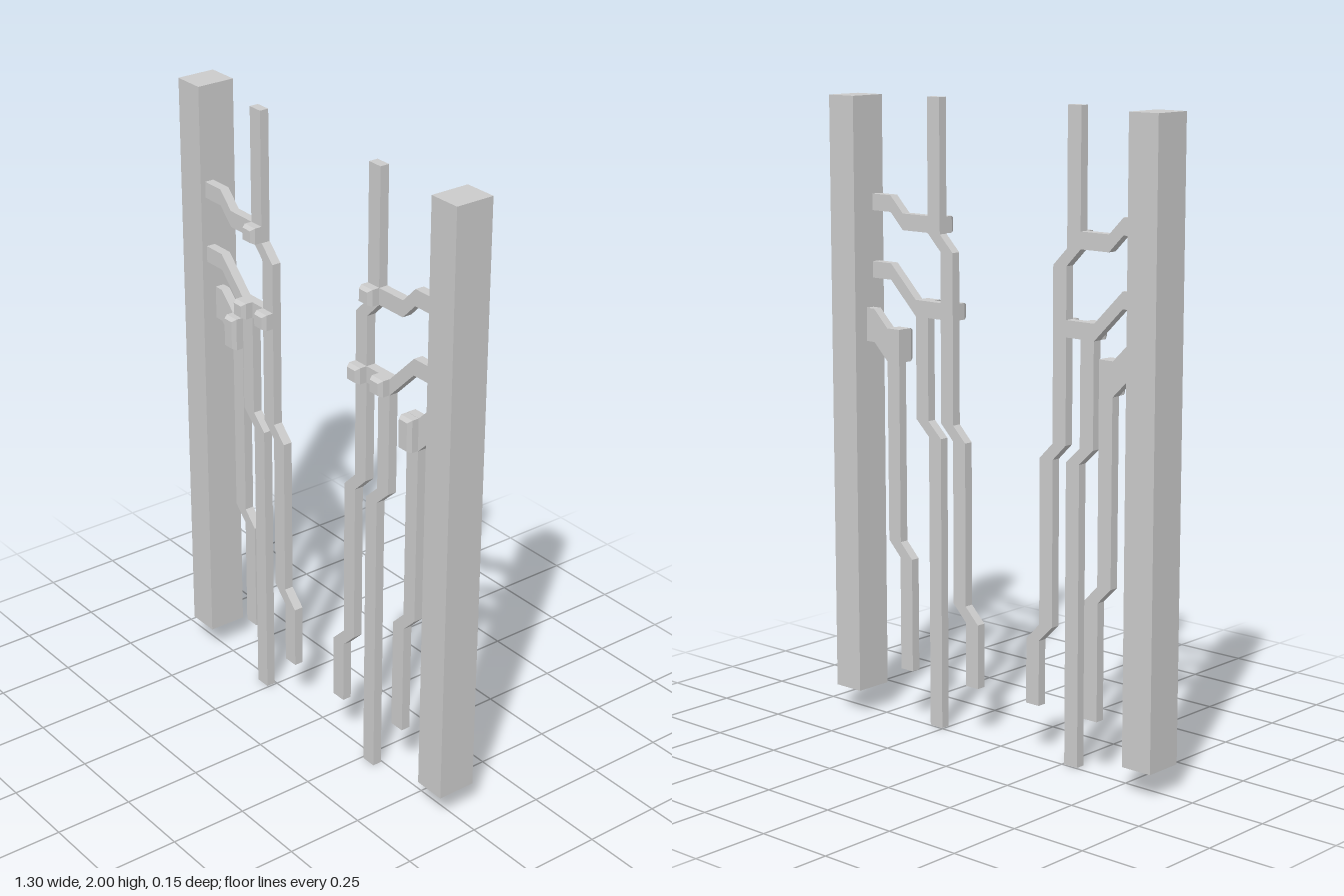
import * as THREE from 'three';

const material = new THREE.MeshStandardMaterial({ color: 0xcccccc, flatShading: true });

function addMesh(parent, name, geometry) {
  const mesh = new THREE.Mesh(geometry, material);
  mesh.name = name;
  parent.add(mesh);
  return mesh;
}

// Flat bar following a centre line, widened by half widths (hx, hy) and extruded from z0 to z1
function bar(parent, name, side, path, hx, hy, z0, z1) {
  const edge = (k) => path.map(([x, y]) => new THREE.Vector2(side * (x + k * hx), y + k * hy));
  const shape = new THREE.Shape([...edge(1), ...edge(-1).reverse()]);
  const geometry = new THREE.ExtrudeGeometry(shape, { depth: z1 - z0, bevelEnabled: false });
  geometry.translate(0, 0, z0);
  addMesh(parent, name, geometry);
}

// Small block with a chamfered front
function knob(parent, name, x, y, w, h, z0, z1) {
  const inset = 0.007, chamfer = 0.014;
  const geometry = new THREE.BoxGeometry(w, h, 2, 1, 1, 2);
  const p = geometry.attributes.position;
  for (let i = 0; i < p.count; i++) {
    const z = p.getZ(i);
    if (z > 0.5) {
      p.setX(i, p.getX(i) - Math.sign(p.getX(i)) * inset);
      p.setY(i, p.getY(i) - Math.sign(p.getY(i)) * inset);
    }
    p.setZ(i, z > 0.5 ? z1 : z > -0.5 ? z1 - chamfer : z0);
  }
  geometry.computeVertexNormals();
  addMesh(parent, name, geometry).position.set(x, y, 0);
}

function createSide(side) {
  const half = new THREE.Group();
  half.name = side > 0 ? 'leftHalf' : 'rightHalf';
  const front = [0.005, 0.035], back = [-0.025, 0.005];

  // Square post
  const post = addMesh(half, 'post', new THREE.BoxGeometry(0.105, 1.915, 0.127));
  post.position.set(side * 0.598, 1.0385, -0.0115);

  // Jogged upright bars
  bar(half, 'innerUpright', side, [[0.281, 2], [0.281, 1.583], [0.228, 1.53], [0.228, 0.993],
    [0.178, 0.943], [0.178, 0.422], [0.126, 0.37], [0.126, 0.163]], 0.0255, 0, ...front);
  bar(half, 'middleUpright', side, [[0.334, 1.37], [0.334, 0.993], [0.281, 0.943], [0.281, 0]],
    0.0255, 0, ...front);
  bar(half, 'outerUpright', side, [[0.43, 1.275], [0.43, 0.593], [0.381, 0.543], [0.381, 0.175]],
    0.0255, 0, ...back);

  // Arms joining the uprights to the post
  bar(half, 'upperArm', side, [[0.55, 1.663], [0.466, 1.663], [0.413, 1.61], [0.256, 1.61]],
    0, 0.026, ...front);
  bar(half, 'middleArm', side, [[0.55, 1.45], [0.466, 1.45], [0.36, 1.345], [0.203, 1.345]],
    0, 0.026, ...front);
  bar(half, 'lowerArm', side, [[0.55, 1.278], [0.513, 1.278], [0.456, 1.222], [0.405, 1.222]],
    0, 0.053, ...back);

  // Chamfered knobs at the joints
  knob(half, 'upperKnob', side * 0.281, 1.61, 0.051, 0.052, 0.035, 0.073);
  for (const x of [0.228, 0.334]) knob(half, 'middleKnob', side * x, 1.345, 0.051, 0.052, 0.035, 0.073);
  knob(half, 'lowerKnob', side * 0.43, 1.222, 0.051, 0.105, 0.005, 0.042);
  return half;
}

export function createModel() {
  const model = new THREE.Group();
  model.name = 'branchingPosts';
  for (const side of [1, -1]) model.add(createSide(side));
  return model;
}
